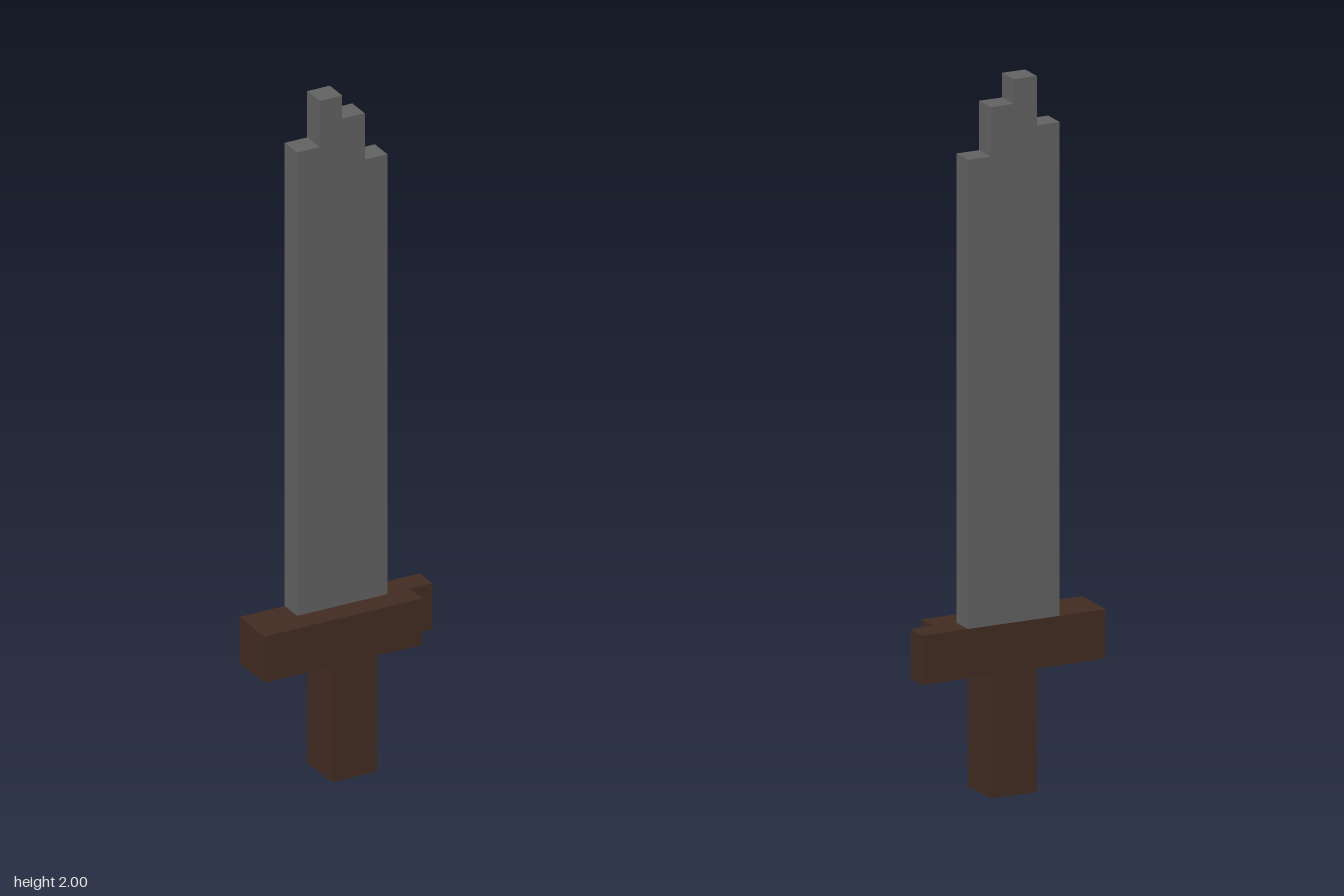
import * as THREE from 'three';

// One voxel: the sword is 29 voxels tall
const U = 2 / 29;

// Closed outline in voxel units, extruded by a depth in voxels
function prism(name, outline, depth, material) {
  const shape = new THREE.Shape(outline.map(([a, b]) => new THREE.Vector2(a * U, b * U)));
  const geometry = new THREE.ExtrudeGeometry(shape, { depth: depth * U, bevelEnabled: false });
  const mesh = new THREE.Mesh(geometry, material);
  mesh.name = name;
  return mesh;
}

export function createModel() {
  const steel = new THREE.MeshStandardMaterial({ color: 0x626263 });
  steel.name = 'steel';
  const wood = new THREE.MeshStandardMaterial({ color: 0x422c22 });
  wood.name = 'wood';

  const sword = new THREE.Group();
  sword.name = 'sword';

  // Blade with a stepped tip, set in the back half of the guard
  const blade = prism('blade', [
    [-2, 7], [2, 7], [2, 26], [1, 26], [1, 28], [0, 28],
    [0, 29], [-1, 29], [-1, 27], [-2, 27],
  ], 1, steel);
  blade.position.z = -U;

  // Guard: plan outline (x, -z) turned flat, front row one voxel shorter on the left
  const guard = prism('guard', [
    [-4, -1], [3, -1], [3, 0], [4, 0], [4, 1], [-4, 1],
  ], 2, wood);
  guard.rotation.x = -Math.PI / 2;
  guard.position.y = 5 * U;

  // Square grip
  const grip = new THREE.Mesh(new THREE.BoxGeometry(2 * U, 5 * U, 2 * U), wood);
  grip.name = 'grip';
  grip.position.y = 2.5 * U;

  sword.add(blade, guard, grip);
  return sword;
}
